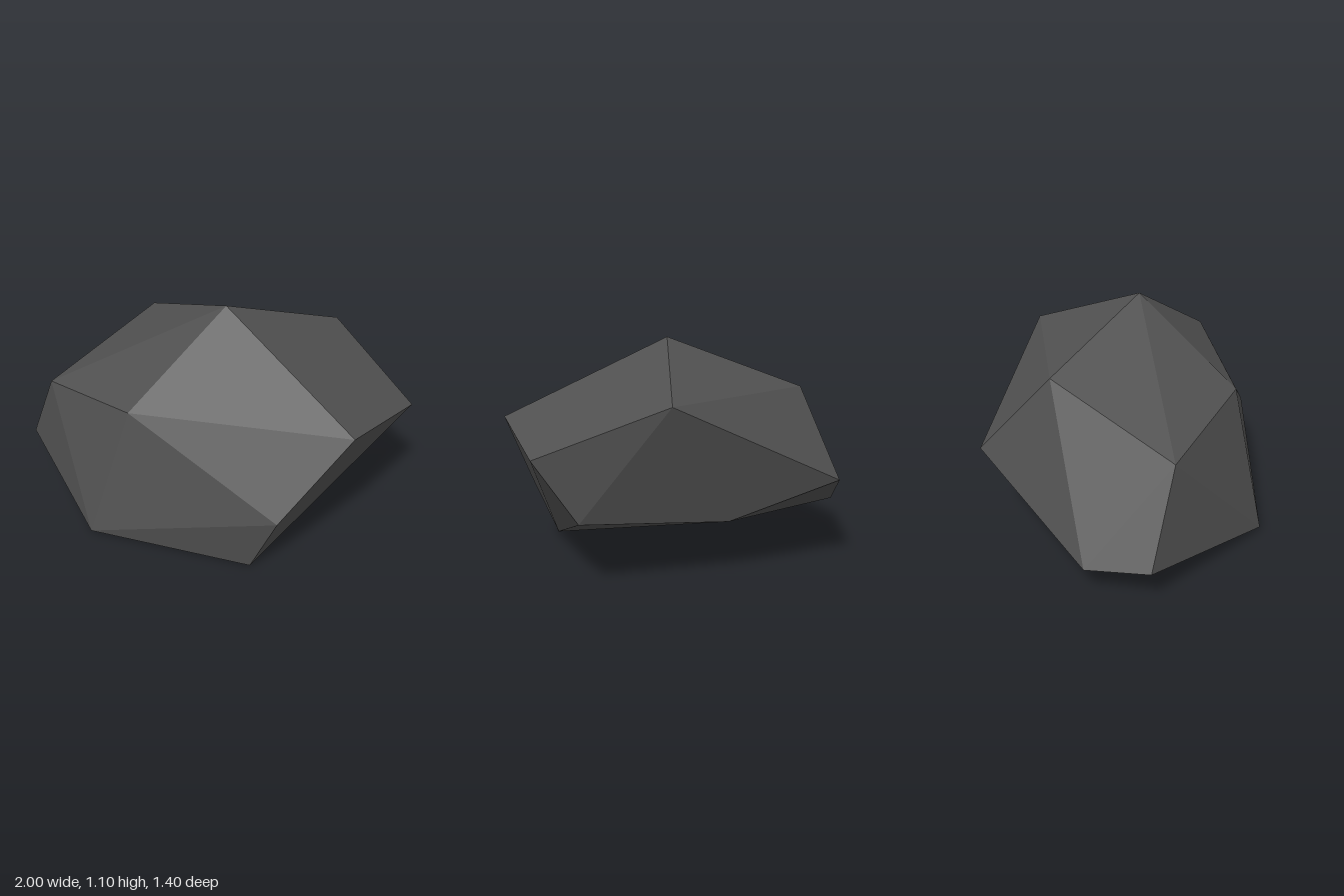
import * as THREE from 'three';
import { ConvexGeometry } from 'three/addons/geometries/ConvexGeometry.js';

export function createModel() {
  const group = new THREE.Group();
  group.name = 'rock';

  const stone = new THREE.MeshStandardMaterial({ color: 0x505050 });
  stone.name = 'dark grey stone';

  // Corners of the faceted boulder
  const corners = [
    // peak and upper shoulders
    [0.11, 1.10, 0.01], [-0.51, 0.84, -0.31], [0.46, 0.84, -0.63],
    [0.90, 0.72, 0.26], [-0.14, 0.70, 0.54], [-0.78, 0.58, 0.32],
    // widest belt
    [1.00, 0.61, -0.33], [0.66, 0.33, 0.54], [-0.45, 0.42, -0.70],
    [-1.00, 0.15, 0.25], [-0.97, 0.12, -0.06],
    // sloping underside
    [0.81, 0.31, -0.40], [0.11, 0.26, -0.56], [0.52, 0.00, 0.52], [-0.30, 0.02, 0.70],
  ].map((p) => new THREE.Vector3(...p));

  const boulder = new THREE.Mesh(new ConvexGeometry(corners), stone);
  boulder.name = 'boulder';
  group.add(boulder);
  return group;
}
